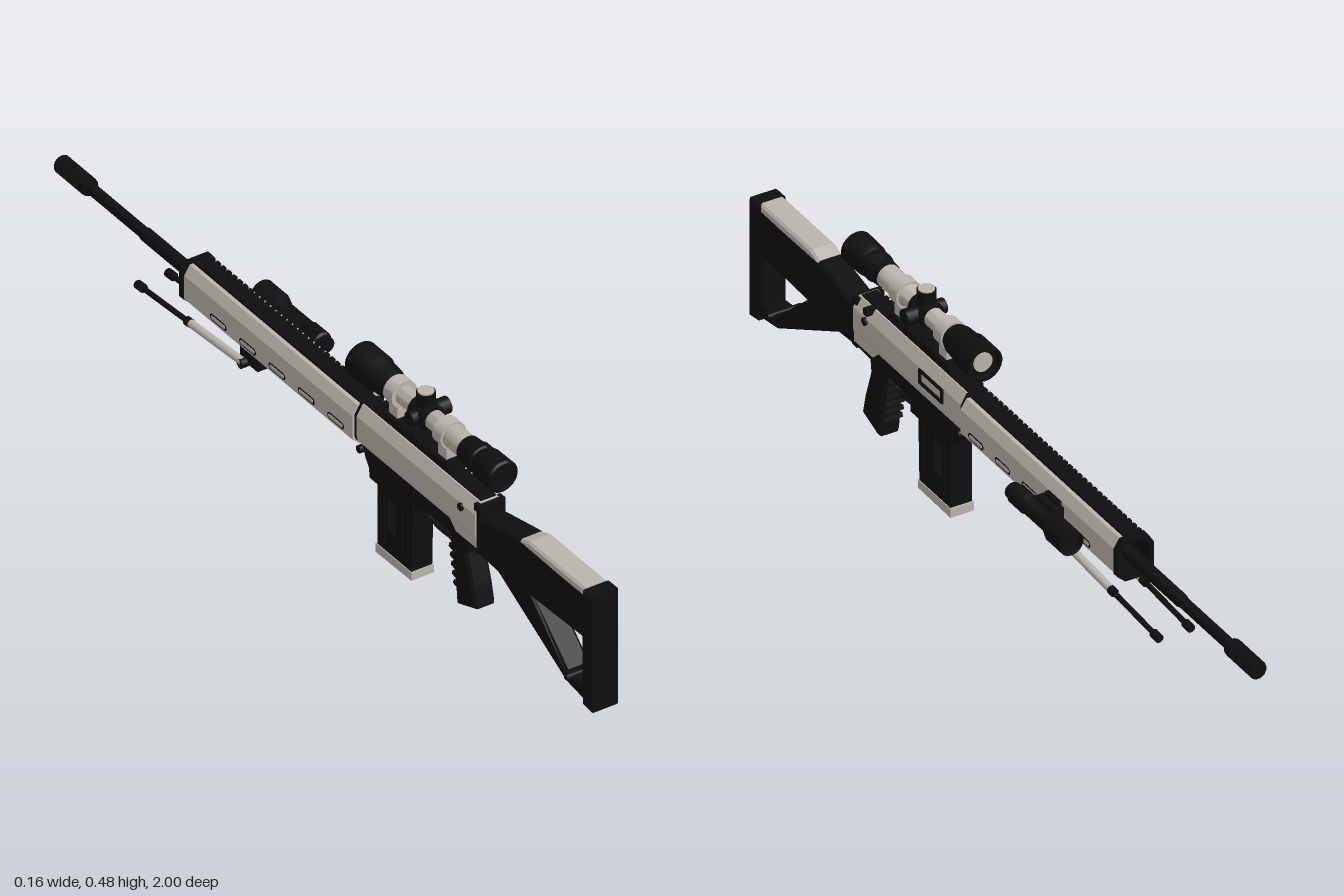
import * as THREE from 'three';
import { toCreasedNormals } from 'three/addons/utils/BufferGeometryUtils.js';

export function createModel() {
  const dark = new THREE.MeshStandardMaterial({ color: 0x0f0f0f });
  dark.name = 'black';
  const light = new THREE.MeshStandardMaterial({ color: 0xbab5aa });
  light.name = 'warmGrey';

  const model = new THREE.Group();
  model.name = 'rifle';
  model.position.x = -0.034;
  const root = new THREE.Group();
  root.add(model);

  const add = (name, geo, mat, parent = model) => {
    const m = new THREE.Mesh(geo, mat);
    m.name = name;
    parent.add(m);
    return m;
  };
  // box from its min and max along z and y, centred at x
  const box = (name, mat, x, w, y0, y1, z0, z1) => {
    const m = add(name, new THREE.BoxGeometry(w, y1 - y0, z1 - z0), mat);
    m.position.set(x, (y0 + y1) / 2, (z0 + z1) / 2);
    return m;
  };
  const toShape = (pts, hole) => {
    const s = new THREE.Shape(pts.map(p => new THREE.Vector2(...p)));
    if (hole) s.holes.push(new THREE.Path(hole.map(p => new THREE.Vector2(...p))));
    return s;
  };
  // side outline in (z, y), extruded across x
  const side = (name, mat, pts, w, hole, x = 0, bevel = 0) => {
    const g = new THREE.ExtrudeGeometry(toShape(pts, hole), {
      depth: w - 2 * bevel, bevelEnabled: bevel > 0, bevelSize: bevel, bevelThickness: bevel,
      bevelOffset: -bevel, bevelSegments: 1
    });
    g.rotateY(-Math.PI / 2).translate(x + w / 2 - bevel, 0, 0);
    return add(name, g, mat);
  };
  // cross-section in (x, y), extruded along z
  const section = (name, mat, pts, z0, z1, hole) => {
    const g = new THREE.ExtrudeGeometry(toShape(pts, hole), { depth: z1 - z0, bevelEnabled: false });
    return add(name, g.translate(0, 0, z0), mat);
  };
  // turned part along z from [radius, z] points
  const turned = (name, mat, pts, x, y, seg = 24) => {
    const g = new THREE.LatheGeometry(pts.map(p => new THREE.Vector2(...p)), seg).rotateX(Math.PI / 2);
    const m = add(name, toCreasedNormals(g, 0.6), mat);
    m.position.set(x, y, 0);
    return m;
  };
  const rod = (name, mat, a, b, r0, r1 = r0, seg = 14) => {
    const A = new THREE.Vector3(...a), B = new THREE.Vector3(...b);
    const d = B.clone().sub(A);
    const m = add(name, new THREE.CylinderGeometry(r1, r0, d.length(), seg), mat);
    m.position.copy(A).add(B).multiplyScalar(0.5);
    m.quaternion.setFromUnitVectors(new THREE.Vector3(0, 1, 0), d.normalize());
    return m;
  };
  const mirror = half => [...half, ...half.map(([x, y]) => [-x, y]).reverse()];
  const rail = (name, y, h, w, z0, z1, pitch = 0.02) => {
    box(name + 'Base', dark, 0, w * 0.9, y, y + h * 0.55, z0, z1);
    for (let z = z0 + pitch * 0.5; z < z1; z += pitch)
      box(name + 'Tooth', dark, 0, w, y + h * 0.5, y + h, z - pitch * 0.28, z + pitch * 0.28);
  };

  // Stock
  side('stock', dark,
    [[0.97, 0.333], [0.72, 0.336], [0.575, 0.306], [0.575, 0.21], [0.65, 0.205], [0.9, 0.075], [0.97, 0.065]],
    0.06, [[0.955, 0.22], [0.955, 0.1], [0.9, 0.105], [0.775, 0.216]], 0, 0.006);
  side('buttPad', dark, [[0.965, 0.345], [1, 0.345], [1, 0.055], [0.965, 0.06]], 0.07, null, 0, 0.004);
  side('cheekRest', light, [[0.965, 0.325], [0.965, 0.347], [0.76, 0.347], [0.71, 0.329], [0.71, 0.322]], 0.058, null, 0, 0.005);
  rod('stockBolt', dark, [-0.041, 0.1, 0.915], [0.041, 0.1, 0.915], 0.007);
  box('stockCollar', dark, 0, 0.066, 0.215, 0.335, 0.565, 0.585);

  // Receiver
  const upper = mirror([[0.035, 0.25], [0.037, 0.262], [0.037, 0.312], [0.022, 0.337]]);
  section('upperReceiver', light, upper, 0.14, 0.575);
  side('rearLowerPanel', light, [[0.575, 0.228], [0.575, 0.256], [0.47, 0.256], [0.5, 0.228]], 0.068);
  side('lowerReceiver', dark,
    [[0.575, 0.232], [0.575, 0.22], [0.36, 0.208], [0.345, 0.185], [0.19, 0.185], [0.165, 0.22], [0.15, 0.255], [0.47, 0.255], [0.5, 0.232]],
    0.064);
  rail('receiverRail', 0.335, 0.009, 0.042, 0.14, 0.57);
  for (const s of [-1, 1]) {
    rod('receiverPin', dark, [s * 0.034, 0.305, 0.525], [s * 0.042, 0.305, 0.525], 0.009);
    rod('frontPin', dark, [s * 0.03, 0.235, 0.15], [s * 0.04, 0.235, 0.15], 0.009);
  }
  side('ejectionPortFrame', dark, [[0.305, 0.276], [0.305, 0.312], [0.21, 0.312], [0.21, 0.276]], 0.005,
    [[0.298, 0.283], [0.217, 0.283], [0.217, 0.305], [0.298, 0.305]], 0.0385);
  box('chargingHandle', dark, 0.012, 0.062, 0.325, 0.34, 0.51, 0.525);
  section('receiverJoint', dark, upper, 0.132, 0.141);

  // Pistol grip with finger ridges
  side('grip', dark, [[0.53, 0.225], [0.455, 0.225], [0.468, 0.175], [0.482, 0.11], [0.49, 0.035], [0.56, 0.06], [0.548, 0.11], [0.525, 0.18]],
    0.052, null, 0, 0.006);
  for (let i = 0; i < 6; i++) {
    const r = box('gripRidge', dark, 0, 0.046, 0.074 + i * 0.021, 0.084 + i * 0.021, 0.474 - i * 0.004, 0.51 - i * 0.004);
    r.rotation.x = 0.25;
  }

  // Trigger and guard
  const guard = new THREE.CatmullRomCurve3([[0.46, 0.19], [0.445, 0.172], [0.39, 0.168], [0.36, 0.18], [0.352, 0.21]]
    .map(([z, y]) => new THREE.Vector3(0, y, z)));
  const guardMesh = add('triggerGuard', new THREE.TubeGeometry(guard, 24, 0.006, 8), dark);
  guardMesh.scale.x = 1.8;
  side('trigger', dark, [[0.415, 0.22], [0.4, 0.22], [0.403, 0.195], [0.395, 0.18], [0.402, 0.178], [0.412, 0.195]], 0.014);

  // Magazine
  side('magazineWell', dark, [[0.345, 0.25], [0.345, 0.182], [0.185, 0.182], [0.175, 0.25]], 0.07);
  side('magazine', dark, [[0.33, 0.2], [0.325, 0.02], [0.2, 0.02], [0.2, 0.2]], 0.052,
    [[0.268, 0.16], [0.236, 0.16], [0.236, 0.078], [0.268, 0.078]]);
  for (const z of [0.222, 0.29, 0.31]) box('magazineRib', dark, 0, 0.057, 0.04, 0.18, z - 0.005, z + 0.005);
  side('magazineBase', light, [[0.328, 0.022], [0.196, 0.022], [0.196, 0], [0.328, 0.002]], 0.056);

  // Hollow handguard
  const hg = mirror([[0.024, 0.234], [0.042, 0.25], [0.042, 0.308], [0.028, 0.33]]);
  const scaled = k => hg.map(([x, y]) => [x * k, 0.282 + (y - 0.282) * k]);
  section('handguard', light, hg, -0.49, 0.132, scaled(0.88));
  section('handguardFrontRing', dark, scaled(1.04), -0.505, -0.488, scaled(0.82));
  section('handguardLiner', dark, scaled(0.87), -0.49, 0.13, scaled(0.82));
  rail('handguardRail', 0.328, 0.012, 0.042, -0.5, 0.13);
  for (const s of [-1, 1]) for (let i = 0; i < 5; i++) {
    const z = 0.07 - i * 0.108;
    const slot = (name, mat, l, h, x) => {
      const shape = new THREE.Shape();
      shape.absarc(l / 2, 0, h / 2, -Math.PI / 2, Math.PI / 2);
      shape.absarc(-l / 2, 0, h / 2, Math.PI / 2, Math.PI * 1.5);
      const g = new THREE.ExtrudeGeometry(shape, { depth: 0.002, bevelEnabled: false, curveSegments: 6 });
      g.rotateY(s * Math.PI / 2);
      add(name, g, mat).position.set(s * x, 0.263, z);
    };
    slot('ventRim', dark, 0.045, 0.016, 0.0405);
    slot('vent', light, 0.043, 0.009, 0.0415);
  }

  // Barrel and muzzle brake with side ports
  turned('barrel', dark, [[0, -0.91], [0.013, -0.91], [0.013, -0.7], [0.0155, -0.69], [0.0155, 0.14], [0, 0.14]], 0, 0.28);
  for (const [z0, z1] of [[-0.915, -0.895], [-0.947, -0.94], [-0.977, -0.97], [-1, -0.993]])
    turned('brakeRing', dark, [[0, z0], [0.02, z0], [0.02, z1], [0, z1]], 0, 0.28);
  for (const a of [0, Math.PI]) {
    const shell = new THREE.Shape();
    shell.absarc(0, 0, 0.021, a + 0.6, a + Math.PI - 0.6, false);
    shell.absarc(0, 0, 0.014, a + Math.PI - 0.6, a + 0.6, true);
    const g = new THREE.ExtrudeGeometry(shell, { depth: 0.1, bevelEnabled: false, curveSegments: 12 });
    add('brakeShell', toCreasedNormals(g, 0.6), dark).position.set(0, 0.28, -1);
  }

  // Scope
  const sy = 0.421;
  turned('scopeTube', light, [[0, 0.11], [0.022, 0.11], [0.022, 0.4], [0.027, 0.41], [0.027, 0.51], [0, 0.51]], 0, sy);
  turned('objective', dark, [[0, 0.115], [0.034, 0.115], [0.036, 0.102], [0.041, 0.102], [0.041, 0.165],
    [0.037, 0.172], [0.035, 0.208], [0.03, 0.225], [0, 0.225]], 0, sy, 32);
  turned('eyepiece', dark, [[0, 0.495], [0.029, 0.495], [0.031, 0.525], [0.034, 0.53], [0.034, 0.548], [0.031, 0.552],
    [0.037, 0.565], [0.038, 0.622], [0.033, 0.626], [0.031, 0.615], [0, 0.615]], 0, sy, 32);
  turned('turretBody', dark, [[0, 0.312], [0.028, 0.312], [0.03, 0.32], [0.03, 0.362], [0.028, 0.37], [0, 0.37]], 0, sy);
  rod('topTurret', dark, [0, sy, 0.34], [0, 0.475, 0.34], 0.021);
  rod('topTurretCap', light, [0, 0.474, 0.34], [0, 0.478, 0.34], 0.018);
  rod('sideTurret', dark, [0, sy, 0.34], [0.054, sy, 0.34], 0.019);
  rod('leftTurret', dark, [0, sy, 0.34], [-0.042, sy, 0.34], 0.017);
  rail('scopeRail', 0.342, 0.022, 0.046, 0.215, 0.455);
  for (const z of [0.245, 0.425]) {
    turned('scopeRing', light, [[0, z - 0.016], [0.032, z - 0.016], [0.032, z + 0.016], [0, z + 0.016]], 0, sy);
    box('scopeMount', light, 0, 0.034, 0.36, 0.405, z - 0.015, z + 0.015);
    box('mountClamp', dark, 0, 0.052, 0.352, 0.366, z - 0.018, z + 0.018);
  }

  // Flashlight on the left side
  turned('flashlight', dark, [[0, -0.376], [0.024, -0.376], [0.026, -0.385], [0.029, -0.385], [0.029, -0.325], [0.02, -0.3],
    [0.02, -0.215], [0.023, -0.21], [0.023, -0.165], [0.019, -0.16], [0.019, -0.147], [0, -0.147]], 0.083, 0.278);
  box('flashlightMount', dark, 0.053, 0.03, 0.258, 0.298, -0.285, -0.215);
  box('flashlightClamp', dark, 0.045, 0.012, 0.25, 0.308, -0.275, -0.225);

  // Folded bipod
  box('bipodMount', dark, 0, 0.06, 0.205, 0.238, -0.3, -0.235);
  rod('bipodAxle', dark, [-0.045, 0.206, -0.28], [0.045, 0.206, -0.28], 0.011);
  for (const s of [-1, 1]) {
    const at = t => [s * 0.038, 0.21 - 0.026 * t, -0.28 - 0.385 * t];
    rod('bipodUpperLeg', light, at(0), at(0.5), 0.009);
    rod('bipodLowerLeg', dark, at(0.48), at(0.97), 0.006);
    rod('bipodFoot', dark, at(0.94), at(1), 0.01);
    rod('bipodCollar', dark, at(0.49), at(0.53), 0.01);
  }
  return root;
}
